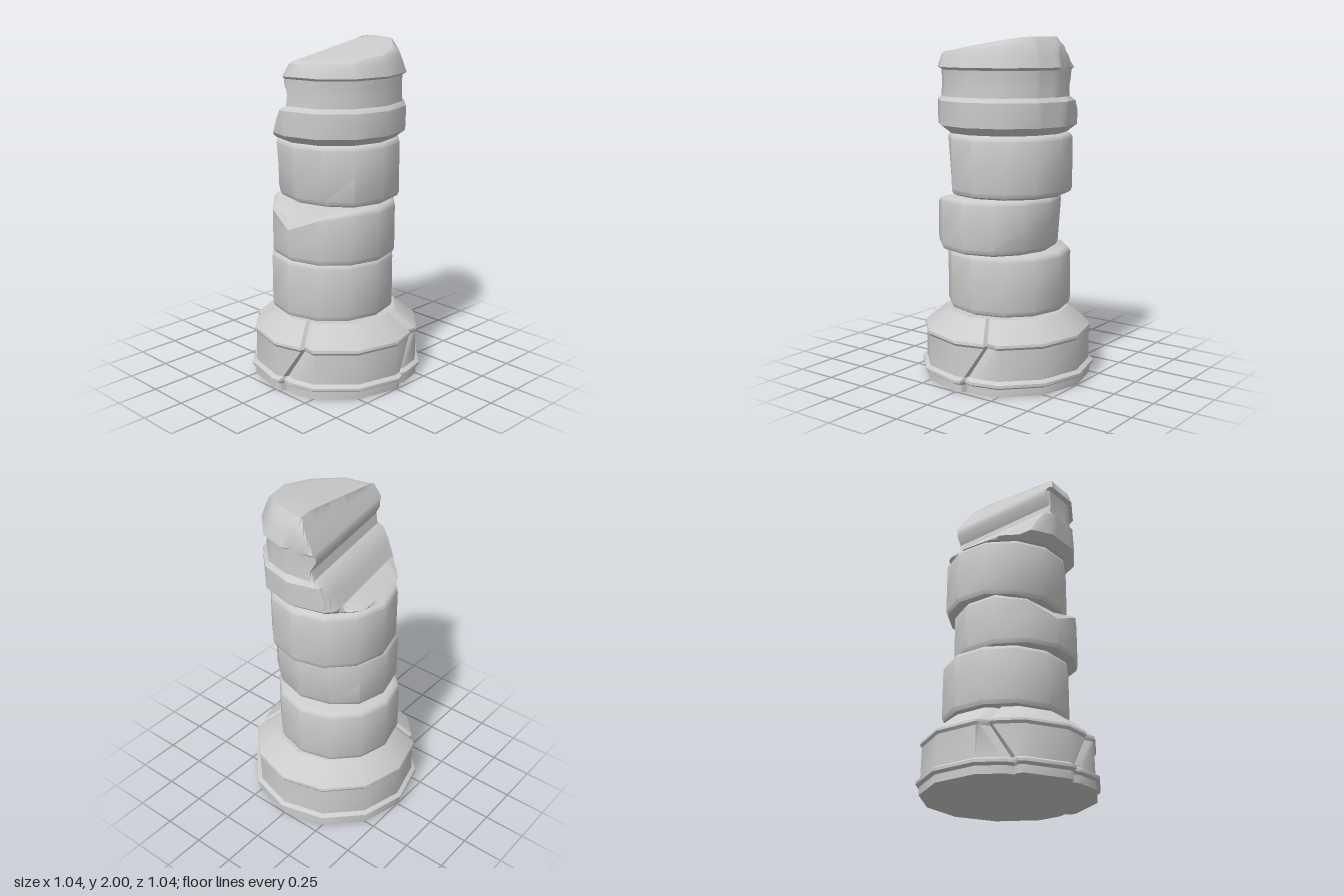
import * as THREE from 'three';
import { toCreasedNormals } from 'three/addons/utils/BufferGeometryUtils.js';

const material = new THREE.MeshStandardMaterial({ color: 0xcccccc });
const CORNERS = Array.from({ length: 12 }, (_, i) => i * 30);

// Straight-line interpolation through [input, output] pairs
function ramp(points, t) {
  if (t <= points[0][0]) return points[0][1];
  for (let i = 1; i < points.length; i++) {
    const [a, va] = points[i - 1], [b, vb] = points[i];
    if (t <= b) return va + (vb - va) * (t - a) / (b - a);
  }
  return points[points.length - 1][1];
}

// Twelve-sided stone lofted through [radius, y] rings; anglesAt(y) lists
// { a: degrees, dent } per ring and deform(p) carves single vertices
function stone(name, profile, { cx = 0, cz = 0, anglesAt, deform } = {}) {
  const getAngles = anglesAt || (() => CORNERS.map((a) => ({ a, dent: 0 })));
  const positions = [], index = [];
  const n = getAngles(0).length;
  for (const [r, y, shiftZ = 0] of profile) {
    for (const { a, dent } of getAngles(y)) {
      const local = ((a % 30) - 15) * Math.PI / 180;
      const chord = r * Math.cos(Math.PI / 12) / Math.cos(local);
      const radius = r > 0 ? Math.max(chord - dent, 0) : 0;
      const t = a * Math.PI / 180;
      const p = new THREE.Vector3(Math.sin(t) * radius, y, Math.cos(t) * radius + shiftZ);
      if (deform) deform(p);
      positions.push(p.x + cx, p.y, p.z + cz);
    }
  }
  for (let i = 0; i < profile.length - 1; i++) {
    for (let j = 0; j < n; j++) {
      const k = (j + 1) % n;
      const a = i * n + j, b = i * n + k, c = b + n, d = a + n;
      if (profile[i][0] > 0) index.push(a, b, c);
      if (profile[i + 1][0] > 0) index.push(a, c, d);
      else if (profile[i][0] > 0) continue;
    }
  }
  const geometry = new THREE.BufferGeometry();
  geometry.setAttribute('position', new THREE.Float32BufferAttribute(positions, 3));
  geometry.setIndex(index);
  const mesh = new THREE.Mesh(toCreasedNormals(geometry, 0.6), material);
  mesh.name = name;
  return mesh;
}

// Bevelled drum profile
function drumProfile(r, y0, y1) {
  return [
    [0, y0], [r - 0.035, y0], [r - 0.01, y0 + 0.012], [r, y0 + 0.035],
    [r, (y0 + y1) / 2], [r, y1 - 0.03], [r - 0.01, y1 - 0.012], [r - 0.03, y1], [0, y1],
  ];
}

// Slanting cracks across three faces of the plinth
function plinthAngles(y) {
  const c = ramp([[0.07, 6], [0.28, 22.5], [0.41, 18]], y);
  const list = CORNERS.map((a) => ({ a, dent: 0 }));
  for (const [start, mirrored] of [[0, false], [270, false], [210, true]]) {
    for (const [offset, dent] of [[-2, 0], [0, 0.028], [6, 0.004]]) {
      const a = c + offset;
      list.push({ a: start + (mirrored ? 30 - a : a), dent });
    }
  }
  return list.sort((p, q) => p.a - q.a);
}

// Extra points along the broken back of the capital
function capitalAngles() {
  const list = [];
  for (const a of CORNERS) {
    const steps = a >= 60 && a < 300 ? 5 : 1;
    for (let i = 0; i < steps; i++) list.push({ a: a + i * 30 / steps, dent: 0 });
  }
  return list;
}

// Depth of the stepped break at each height
const BREAK = [
  [1.455, -0.4], [1.472, -0.31], [1.5, -0.2], [1.58, -0.16], [1.64, -0.12], [1.665, -0.075],
  [1.72, -0.06], [1.78, -0.09], [1.82, -0.09], [1.9, -0.04], [2, 0.02],
];

function carveCapital(p) {
  // Sloping top, worn lower towards the front right
  const slope = 1.965 + 0.15 * p.x - 0.15 * Math.max(0, p.z - 0.2);
  if (p.y > 1.83) p.y = Math.min(p.y, Math.max(1.835, slope));
  // Tilted break across the back
  p.z = Math.max(p.z, ramp(BREAK, p.y) - 0.17 * p.x);
  // Chip on the left edge
  if (p.y > 1.66 && p.z < 0.02) p.x = Math.min(p.x, 0.37);
}

export function createModel() {
  const group = new THREE.Group();
  group.name = 'brokenColumn';

  group.add(stone('plinth', [
    [0, 0], [0.5, 0], [0.5, 0.045], [0.52, 0.058], [0.52, 0.075], [0.495, 0.09],
    [0.492, 0.27], [0.503, 0.285], [0.5, 0.3], [0.385, 0.395], [0.365, 0.41], [0, 0.41],
  ], { anglesAt: plinthAngles }));

  group.add(stone('lowerDrum', drumProfile(0.368, 0.41, 0.77), { cx: -0.005, cz: -0.025 }));

  // Chipped top on the right, slight taper on the left
  group.add(stone('middleDrum', drumProfile(0.366, 0.77, 1.095), {
    cx: -0.04, cz: 0.022,
    deform(p) {
      p.y = Math.min(p.y, ramp([[-0.366, 0.96], [-0.31, 1.05], [-0.18, 1.095]], p.x));
      if (p.x > 0.2) p.x -= 0.025 * (1.08 - p.y) / 0.3;
    },
  }));

  // Worn lower right side
  group.add(stone('upperDrum', drumProfile(0.367, 1.095, 1.455), {
    cx: 0.018, cz: -0.002,
    deform(p) {
      if (p.x < -0.2) p.x += 0.03 * (1.455 - p.y) / 0.36;
    },
  }));

  group.add(stone('brokenCapital', [
    [0, 1.455], [0.35, 1.455], [0.37, 1.472], [0.408, 1.5], [0.41, 1.58], [0.41, 1.64],
    [0.388, 1.665], [0.385, 1.72], [0.385, 1.78], [0.387, 1.815], [0.41, 1.83],
    [0.385, 1.9], [0.365, 1.95], [0.33, 2], [0.22, 2, 0.04], [0.11, 2, 0.08], [0, 2, 0.12],
  ], { anglesAt: capitalAngles, deform: carveCapital }));

  return group;
}
